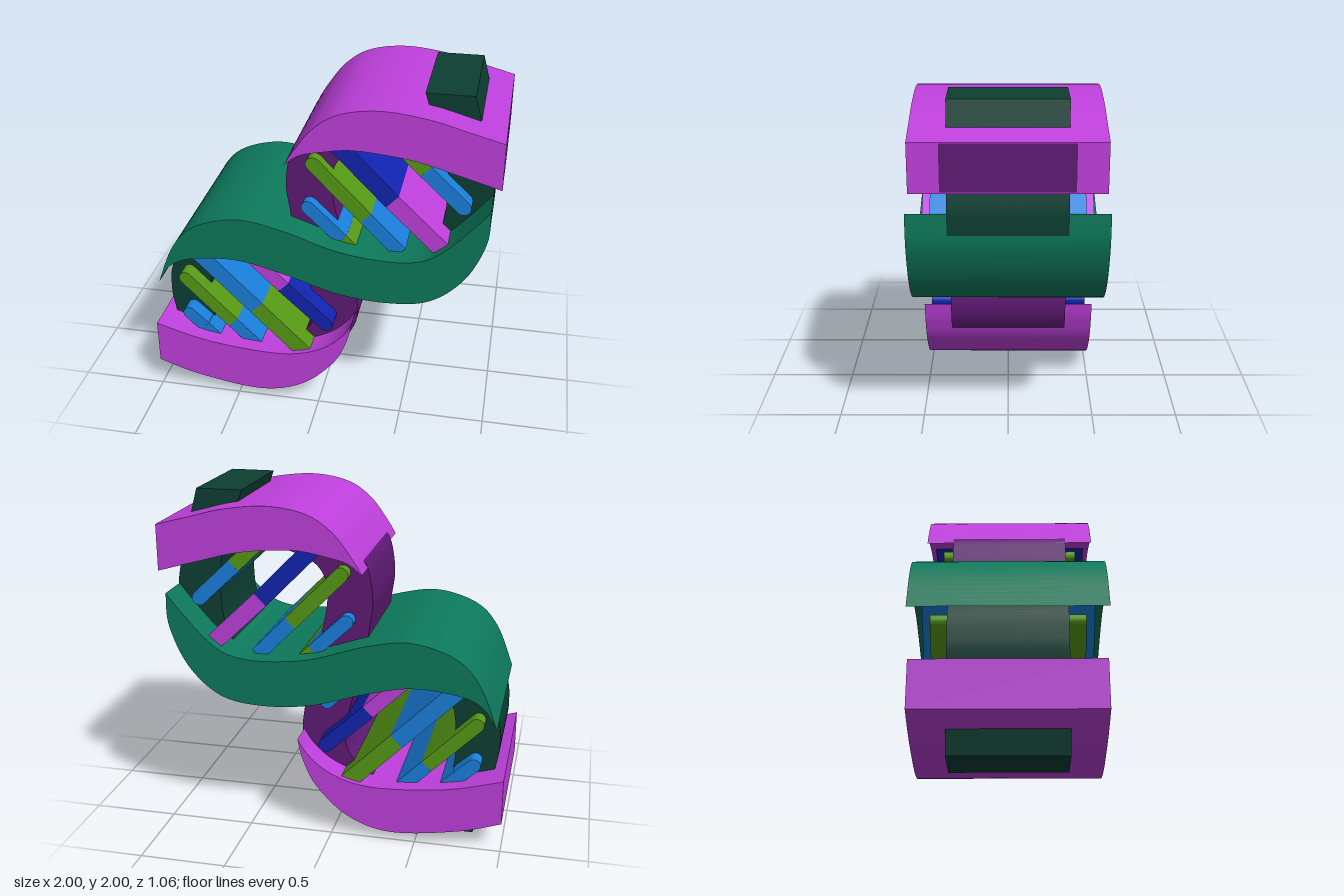
import * as THREE from 'three';
import { toCreasedNormals } from 'three/addons/utils/BufferGeometryUtils.js';

const COLORS = {
  purple: 0xbf40dd, darkPurple: 0x5f1a75, green: 0x0d7a5b, darkGreen: 0x0d3f33,
  navy: 0x1124b0, blue: 0x1a80dd, lime: 0x569a16,
};
const materials = {};
for (const key in COLORS) materials[key] = new THREE.MeshStandardMaterial({ color: COLORS[key] });

// Extrudes a front outline symmetrically to z = +-halfDepth
function slab(name, shape, halfDepth, color) {
  const geo = new THREE.ExtrudeGeometry(shape, { depth: halfDepth * 2, bevelEnabled: false, curveSegments: 8 });
  geo.translate(0, 0, -halfDepth);
  const mesh = new THREE.Mesh(toCreasedNormals(geo, 0.5), materials[color]);
  mesh.name = name;
  return mesh;
}

// Outline made of smooth curves joined by straight lines
function outline(...curves) {
  const shape = new THREE.Shape();
  curves.forEach((curve, i) => {
    const pts = curve.map(([x, y]) => new THREE.Vector2(x, y));
    if (i === 0) shape.moveTo(pts[0].x, pts[0].y);
    else if (shape.currentPoint.distanceTo(pts[0]) > 1e-5) shape.lineTo(pts[0].x, pts[0].y);
    shape.splineThru(pts.slice(1));
  });
  return shape;
}

// Straight piece from a to b, with a semicircular end at b if round
function rod(a, b, width, round) {
  const angle = Math.atan2(b[1] - a[1], b[0] - a[0]);
  const r = width / 2, nx = -Math.sin(angle) * r, ny = Math.cos(angle) * r;
  const shape = new THREE.Shape();
  shape.moveTo(a[0] + nx, a[1] + ny);
  shape.lineTo(a[0] - nx, a[1] - ny);
  shape.lineTo(b[0] - nx, b[1] - ny);
  if (round) shape.absarc(b[0], b[1], r, angle - Math.PI / 2, angle + Math.PI / 2, false);
  else shape.lineTo(b[0] + nx, b[1] + ny);
  return shape;
}

export function createModel() {
  const model = new THREE.Group();
  model.name = 'doubleHelix';

  // Wide front ribbons
  model.add(slab('lowerPurpleRibbon', outline(
    [[-1, .18], [-.74, .1], [-.36, .05], [-.1, .125], [.088, .3], [.168, .46], [.2, .59]],
    [[.2, .59], [.14, .5], [.035, .41], [-.125, .345], [-.34, .33], [-.69, .366], [-1, .45]],
  ), .505, 'purple'));

  model.add(slab('upperPurpleRibbon', outline(
    [[-.18, 1.6], [-.1, 1.66], [.01, 1.69], [.17, 1.717], [.33, 1.712], [.54, 1.685], [.756, 1.627], [1, 1.557]],
    [[1, 1.825], [.81, 1.875], [.6, 1.93], [.345, 1.957], [.125, 1.92], [-.02, 1.825], [-.125, 1.69], [-.18, 1.6]],
  ), .505, 'purple'));

  model.add(slab('greenRibbon', outline(
    [[-.95, .77], [-.873, .89], [-.74, .953], [-.47, .975], [-.2, .916], [.115, .82], [.41, .793],
      [.65, .836], [.836, 1], [.943, 1.237], [.953, 1.434]],
    [[.953, 1.434], [.86, 1.32], [.73, 1.18], [.6, 1.093], [.41, 1.067], [.115, 1.1], [-.2, 1.2],
      [-.46, 1.242], [-.71, 1.17], [-.85, 1.02], [-.95, .77]],
  ), .53, 'green'));

  // Narrower dark ribbons that cross behind
  model.add(slab('darkPurpleRibbon', outline(
    [[-.26, .2], [-.1, .15], [.06, .29], [.18, .46], [.21, .59], [.19, .763], [.165, .92], [.09, 1.2],
      [.056, 1.37], [.06, 1.504], [.125, 1.61], [.275, 1.675], [.435, 1.69]],
    [[.435, 1.702], [.54, 1.695], [.756, 1.635], [1.001, 1.565]],
    [[1.001, 1.82], [.81, 1.865], [.6, 1.92], [.345, 1.945], [.135, 1.905], [-.01, 1.81], [-.12, 1.68],
      [-.18, 1.6], [-.21, 1.41], [-.19, 1.237], [-.165, 1.08], [-.09, .8], [-.056, .628], [-.06, .494],
      [-.15, .366], [-.26, .32]],
  ), .345, 'darkPurple'));

  const darkGreen = outline(
    [[.553, 2], [.62, 1.8], [.69, 1.584], [.7, 1.397], [.68, 1.21], [.6, 1.05]],
    [[.7, .95], [.83, 1.04], [.937, 1.237], [.957, 1.4], [.943, 1.53], [.89, 1.744], [.82, 2]],
  );
  const upperDark = slab('upperDarkGreenRibbon', darkGreen, .315, 'darkGreen');
  const lowerDark = upperDark.clone();
  lowerDark.name = 'lowerDarkGreenRibbon';
  lowerDark.rotation.z = Math.PI;
  lowerDark.position.y = 2;
  model.add(upperDark, lowerDark);

  // Two-colour rungs: start, middle, end, colours, width, half depth, rounded start, rounded end
  const rungs = [
    [[-.74, .98], [-.377, .617], [-.08, .32], 'blue', 'lime', .1, .47, false, false],
    [[-.83, .735], [-.548, .451], [-.4, .303], 'lime', 'blue', .08, .41, true, false],
    [[-.82, .483], [-.73, .4], [-.65, .32], 'blue', 'blue', .08, .41, true, false],
    [[-.44, 1.01], [-.21, .785], [.04, .553], 'purple', 'navy', .085, .47, false, true],
    [[-.12, .96], [-.03, .875], [.045, .8], 'blue', 'blue', .08, .41, false, true],
    [[-.07, 1.295], [.125, 1.108], [.2, 1.035], 'blue', 'lime', .08, .41, true, false],
    [[-.04, 1.568], [.26, 1.263], [.46, 1.06], 'lime', 'blue', .085, .41, true, false],
    [[.09, 1.743], [.414, 1.413], [.72, 1.12], 'navy', 'purple', .1, .47, false, false],
    [[.44, 1.725], [.585, 1.584], [.8, 1.38], 'lime', 'blue', .085, .41, false, true],
  ];
  rungs.forEach(([a, m, b, c1, c2, width, depth, roundA, roundB], i) => {
    const rung = new THREE.Group();
    rung.name = `rung${i + 1}`;
    rung.add(slab('rungUpperHalf', rod(m, a, width, roundA), depth, c1));
    rung.add(slab('rungLowerHalf', rod(m, b, width, roundB), depth, c2));
    model.add(rung);
  });

  return model;
}
